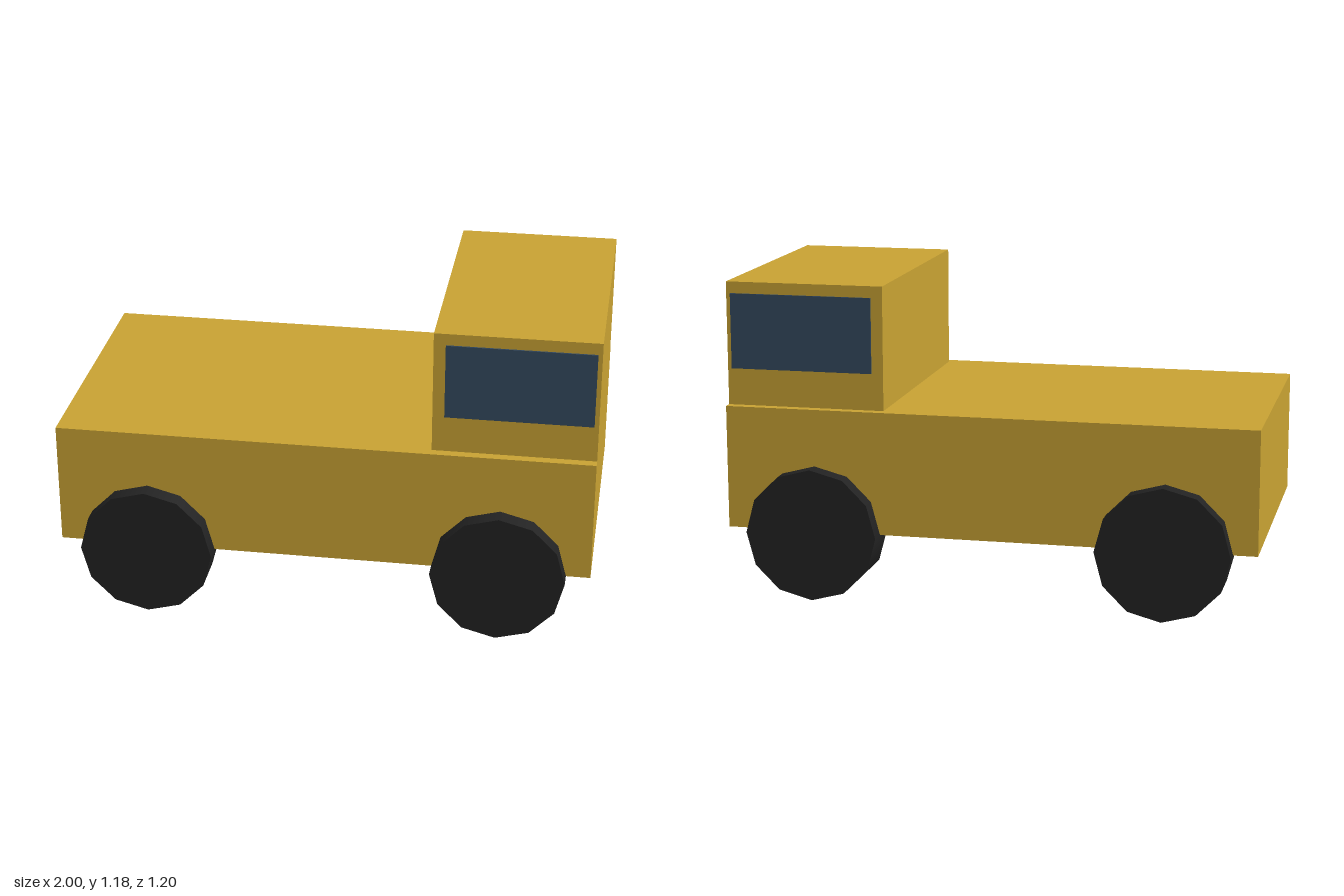
import * as THREE from 'three';

export function createModel() {
  const model = new THREE.Group();
  model.name = 'truck';

  const paint = new THREE.MeshStandardMaterial({ name: 'yellow paint', color: 0xc8a233 });
  const glass = new THREE.MeshStandardMaterial({ name: 'dark blue glass', color: 0x34495e });
  const rubber = new THREE.MeshStandardMaterial({ name: 'black rubber', color: 0x222222 });

  function add(name, geometry, material, x, y, z) {
    const mesh = new THREE.Mesh(geometry, material);
    mesh.name = name;
    mesh.position.set(x, y, z);
    model.add(mesh);
  }

  // Long flat body, with the narrower cab standing on its +x end
  add('body', new THREE.BoxGeometry(2, 0.465, 1.07), paint, 0, 0.4825, 0);
  add('cab', new THREE.BoxGeometry(0.6, 0.465, 1), paint, 0.7, 0.9475, 0);

  // Thin window plates and twelve-sided wheels, mirrored in z
  const windowPlate = new THREE.BoxGeometry(0.54, 0.283, 0.008);
  const wheel = new THREE.CylinderGeometry(0.25, 0.25, 0.17, 12).rotateX(Math.PI / 2);
  for (const side of [1, -1]) {
    add(side > 0 ? 'frontWindow' : 'backWindow', windowPlate, glass, 0.714, 0.995, side * 0.502);
    for (const end of [1, -1]) {
      add('wheel', wheel, rubber, end * 0.66, 0.25, side * 0.515);
    }
  }
  return model;
}
